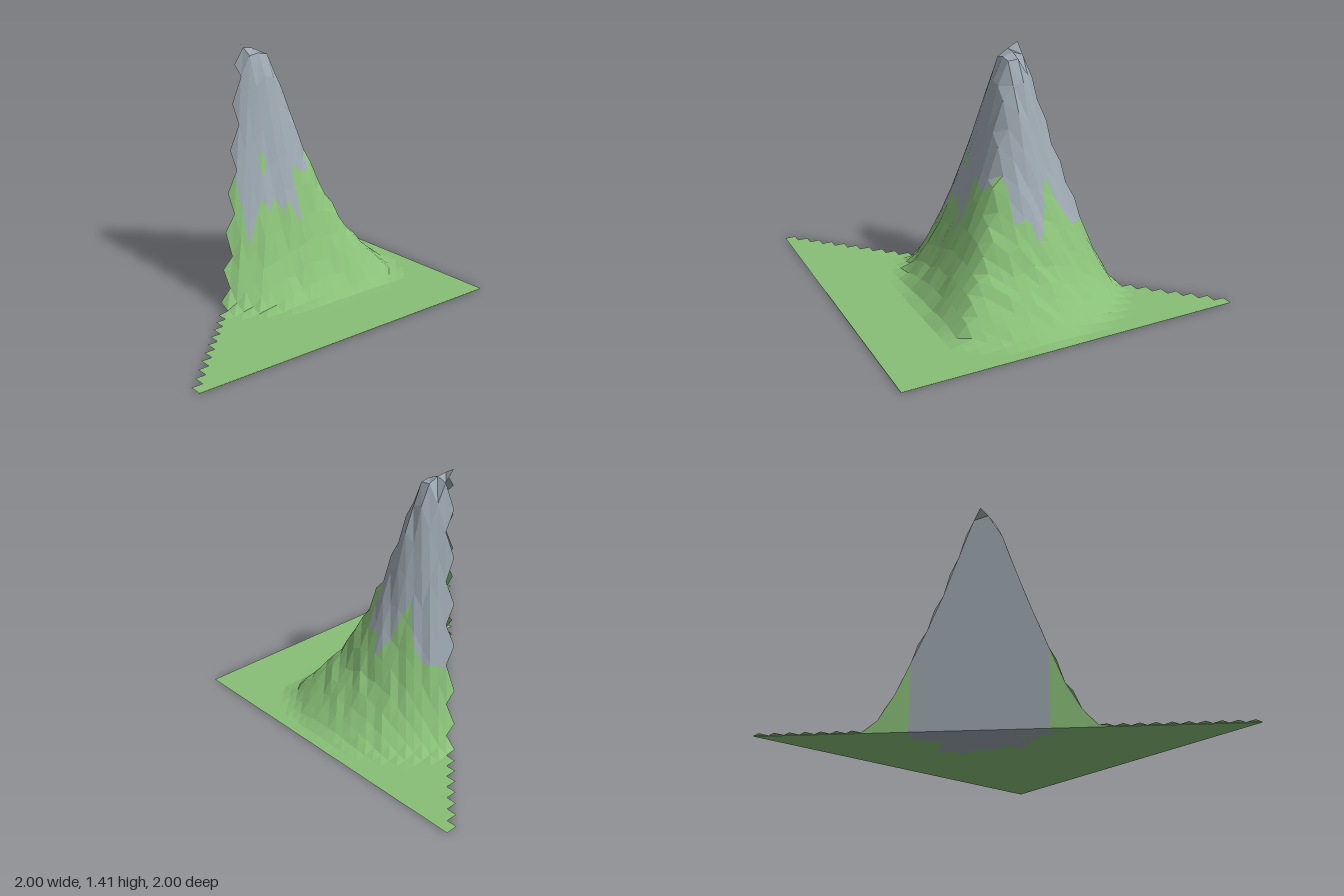
import * as THREE from 'three';

const N = 32, STEP = 2 / N, SPLIT = 5, BASE = 0.004;
const PEAK = { x: 0.0625, z: -0.125, y: 1.405 };

// Contour radii around the peak: one row per bearing (degrees, +x towards +z)
const LEVELS = [1.33, 1.2, 0.95, 0.72, 0.5, 0.27, 0.12, 0.02];
const CONTOURS = [
  [-45, [0.035, 0.09, 0.177, 0.258, 0.354, 0.446, 0.53, 0.59]],
  [-22, [0.045, 0.105, 0.19, 0.29, 0.39, 0.5, 0.6, 0.72]],
  [0, [0.07, 0.15, 0.25, 0.33, 0.42, 0.55, 0.68, 0.8]],
  [25, [0.14, 0.23, 0.32, 0.4, 0.5, 0.62, 0.77, 0.9]],
  [45, [0.177, 0.24, 0.33, 0.42, 0.53, 0.68, 0.84, 0.95]],
  [67, [0.155, 0.21, 0.28, 0.355, 0.44, 0.55, 0.65, 0.75]],
  [90, [0.13, 0.18, 0.24, 0.31, 0.385, 0.48, 0.57, 0.67]],
  [135, [0.06, 0.127, 0.222, 0.305, 0.394, 0.49, 0.57, 0.63]],
];

// Height where rock gives way to grass, by bearing
const ROCK_LINE = [
  [-45, 0.38], [-30, 0.42], [-20, 0.42], [-11, 0.52], [-6, 0.6], [0, 0.72], [4, 0.66], [8, 0.5],
  [14, 0.39], [18, 0.5], [23, 0.53], [29, 0.5], [35, 0.7], [42, 0.76], [48, 0.7], [54, 0.65],
  [60, 0.67], [67, 0.72], [70, 0.55], [74, 0.37], [79, 0.54], [85, 0.47], [92, 0.56], [97, 0.48],
  [104, 0.56], [110, 0.48], [114, 0.4], [118, 0.32], [122, 0.5], [129, 0.7], [135, 0.6],
];

// Linear interpolation in a list of [key, value]
function lookup(list, k) {
  if (k <= list[0][0]) return list[0][1];
  for (let i = 1; i < list.length; i++) {
    const [k0, v0] = list[i - 1], [k1, v1] = list[i];
    if (k <= k1) return v0 + ((v1 - v0) * (k - k0)) / (k1 - k0);
  }
  return list[list.length - 1][1];
}

const bearing = (x, z) => (Math.atan2(z - PEAK.z, x - PEAK.x) * 180) / Math.PI;

function heightAt(x, z) {
  const r = Math.hypot(x - PEAK.x, z - PEAK.z);
  const a = bearing(x, z);
  const slope = [[0, PEAK.y]];
  LEVELS.forEach((level, i) => {
    slope.push([lookup(CONTOURS.map(([b, radii]) => [b, radii[i]]), a), level]);
  });
  slope.push([slope[LEVELS.length][0] + 0.06, 0]);
  const y = lookup(slope, r);
  // slight ruggedness on the slopes
  const rough = 0.015 * Math.sin(x * 47 + z * 13) * Math.sin(z * 41 - x * 17);
  return Math.max(0, y + rough * Math.min(1, y * 4) * Math.min(1, r * 4)) + BASE;
}

// Positive on rock, negative on grass, with one small grass tuft in the rock
function rockField(p) {
  const a = bearing(p.x, p.z);
  const tuft = ((a - 98) / 4) ** 2 + ((p.y - 0.75) / 0.07) ** 2 - 1;
  return Math.min(p.y - lookup(ROCK_LINE, a), tuft * 0.05);
}

// Keep the part of a triangle where sign * field is positive
function clip(points, fields, sign) {
  const out = [];
  for (let i = 0; i < 3; i++) {
    const j = (i + 1) % 3, f = fields[i] * sign, g = fields[j] * sign;
    if (f >= 0) out.push(points[i]);
    if ((f > 0 && g < 0) || (f < 0 && g > 0)) out.push(points[i].clone().lerp(points[j], f / (f - g)));
  }
  return out;
}

function addFan(target, poly) {
  for (let i = 2; i < poly.length; i++) target.push(poly[0], poly[i - 1], poly[i]);
}

// Divide a triangle finely and share it between rock and grass
function paint(a, b, c, rock, grass) {
  const at = (i, j) => a.clone()
    .addScaledVector(b.clone().sub(a), i / SPLIT)
    .addScaledVector(c.clone().sub(a), j / SPLIT);
  const emit = (tri) => {
    const f = tri.map(rockField);
    addFan(rock, clip(tri, f, 1));
    addFan(grass, clip(tri, f, -1));
  };
  if (Math.max(a.y, b.y, c.y) < 0.25) { grass.push(a, b, c); return; }
  for (let i = 0; i < SPLIT; i++) {
    for (let j = 0; j < SPLIT - i; j++) {
      emit([at(i, j), at(i + 1, j), at(i, j + 1)]);
      if (i + j < SPLIT - 1) emit([at(i + 1, j), at(i + 1, j + 1), at(i, j + 1)]);
    }
  }
}

export function createModel() {
  const green = new THREE.MeshStandardMaterial({ color: 0x88bf77, side: THREE.DoubleSide });
  green.name = 'grass green';
  const grey = new THREE.MeshStandardMaterial({ color: 0x9ca7b0, side: THREE.DoubleSide });
  grey.name = 'rock grey';

  const parts = {
    grassSlopes: [], rockSlopes: [], grassUnderside: [], rockUnderside: [], grassCutWall: [], rockCutWall: [],
  };
  const coord = (i) => -1 + i * STEP;
  const point = (i, j) => new THREE.Vector3(coord(i), heightAt(coord(i), coord(j)), coord(j));

  // Terrain cells on one side of the diagonal; the stepped edge overhangs the cut
  for (let j = 0; j < N; j++) {
    for (let i = N - 1 - j; i < N; i++) {
      const a = point(i, j), b = point(i + 1, j), c = point(i, j + 1), d = point(i + 1, j + 1);
      const tris = [[b, c, d], [a, c, b]];
      tris.forEach(([p, q, r], k) => {
        const rock = [], grass = [];
        paint(p, q, r, rock, grass);
        parts.rockSlopes.push(...rock);
        parts.grassSlopes.push(...grass);
        // flat underside mirrors the patches above, up to the straight cut
        if (k === 1 && i === N - 1 - j) return;
        const flatten = (list) => list.map((v) => new THREE.Vector3(v.x, 0, v.z)).reverse();
        parts.rockUnderside.push(...flatten(rock));
        parts.grassUnderside.push(...flatten(grass));
      });
    }
  }

  // Vertical cut wall along the diagonal
  for (let i = 0; i < N; i++) {
    const t0 = point(i, N - i), t1 = point(i + 1, N - i - 1);
    const b0 = t0.clone().setY(0), b1 = t1.clone().setY(0);
    const mid = coord(i + 0.5);
    const wall = mid > -0.19 && mid < 0.37 ? parts.rockCutWall : parts.grassCutWall;
    wall.push(b0, t1, b1, b0, t0, t1);
  }

  const model = new THREE.Group();
  model.name = 'mountain';
  for (const [name, points] of Object.entries(parts)) {
    const geometry = new THREE.BufferGeometry().setFromPoints(points);
    geometry.computeVertexNormals();
    const mesh = new THREE.Mesh(geometry, name.startsWith('rock') ? grey : green);
    mesh.name = name;
    model.add(mesh);
  }
  return model;
}
